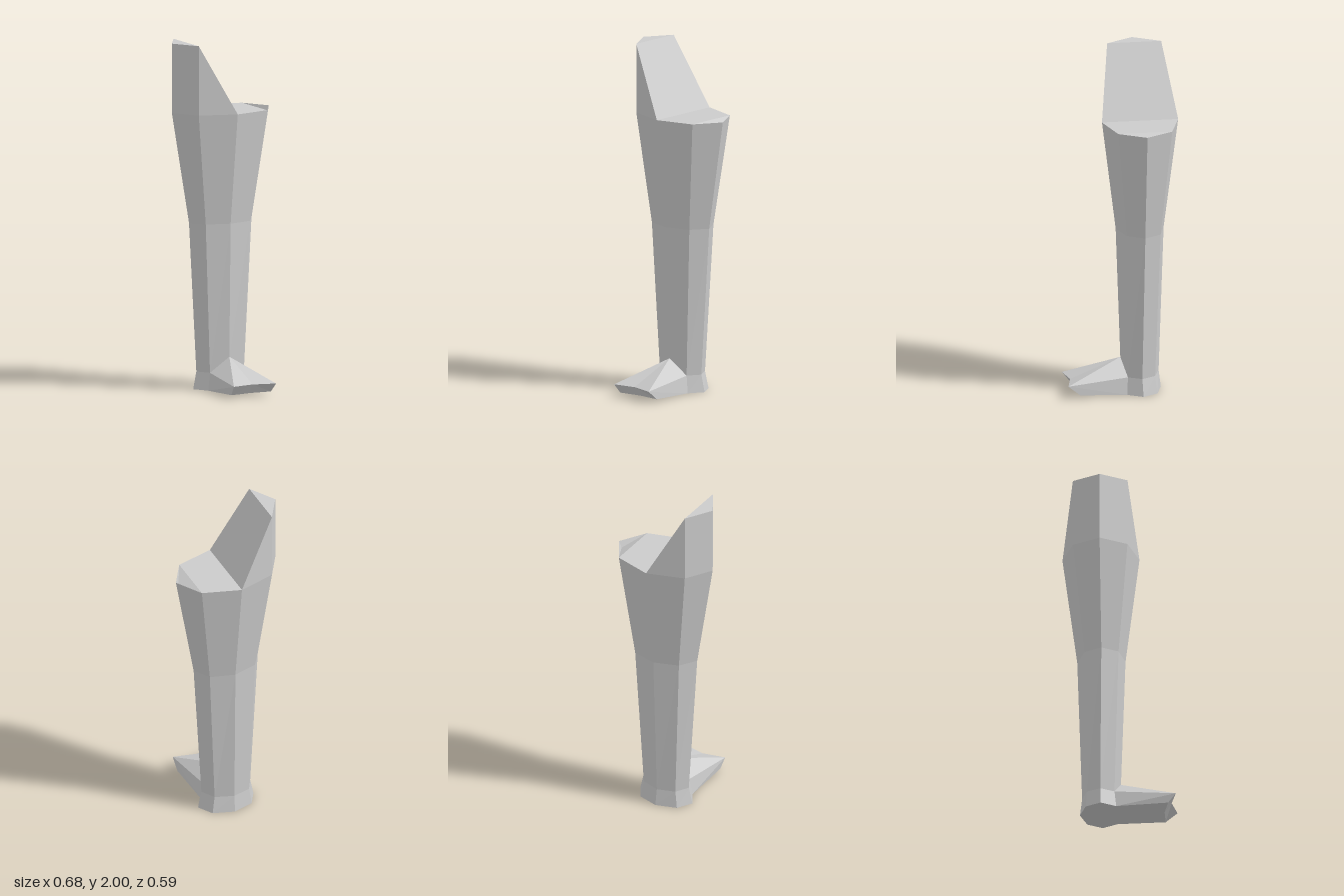
import * as THREE from 'three';

// Octagonal outline (x, z), clockwise seen from above, starting at the back
const outline = [
  [-0.15, -0.28], [0.03, -0.295], [0.13, -0.145], [0.09, 0.08],
  [-0.06, 0.25], [-0.24, 0.265], [-0.34, 0.115], [-0.305, -0.11],
];
const CX = -0.103, CZ = -0.009;

// Outline scaled about the leg axis; height(i) gives each corner's y
const ring = (sx, sz, height) => outline.map(([x, z], i) =>
  new THREE.Vector3(CX + (x - CX) * sx, height(i), CZ + (z - CZ) * sz));

// Collects triangles and quads, then makes a faceted mesh
function faceBuilder() {
  const points = [];
  const tri = (a, b, c) => points.push(a, b, c);
  const quad = (a, b, c, d) => { tri(a, b, c); tri(a, c, d); };
  const mesh = (name) => {
    const geometry = new THREE.BufferGeometry().setFromPoints(points);
    geometry.computeVertexNormals();
    const material = new THREE.MeshStandardMaterial({
      color: 0xcccccc, flatShading: true, side: THREE.DoubleSide,
    });
    const m = new THREE.Mesh(geometry, material);
    m.name = name;
    return m;
  };
  return { tri, quad, mesh };
}

export function createModel() {
  const group = new THREE.Group();
  group.name = 'bootLeg';

  // Corners 4-6 rise into the knee guard; corner 3 is the instep
  const isKnee = (i) => i >= 4 && i <= 6;
  const top = ring(1, 1, (i) => (isKnee(i) ? 2 : 1.6));
  const calf = ring(1, 1, () => 1.6);
  const shin = ring(0.62, 0.66, () => 0.96);
  const ankle = ring(0.51, 0.48, (i) => (i === 3 ? 0.19 : 0.1));
  const base = ring(0.56, 0.555, () => 0);

  // Shaft
  const shaft = faceBuilder();
  const rings = [top, calf, shin, ankle];
  for (let r = 0; r < 3; r++) {
    for (let i = 0; i < 8; i++) {
      const j = (i + 1) % 8;
      if (r === 0 && !isKnee(i) && !isKnee(j)) continue;
      shaft.quad(rings[r][i], rings[r][j], rings[r + 1][j], rings[r + 1][i]);
    }
  }
  group.add(shaft.mesh('shaft'));

  // Top: level rear, sloped front and a shallow dip at the back corner
  const cap = faceBuilder();
  const [a, b, c, d, e, f, g, h] = top;
  const dip = new THREE.Vector3(0.025, 1.56, -0.28);
  cap.quad(h, d, c, a);
  cap.quad(h, g, e, d);
  cap.tri(g, f, e);
  cap.tri(a, c, dip);
  cap.tri(c, b, dip);
  cap.tri(b, a, dip);
  group.add(cap.mesh('top'));

  // Foot: heel walls, notched toe, instep and sole
  const foot = faceBuilder();
  for (const i of [0, 1, 4, 5, 6, 7]) {
    const j = (i + 1) % 8;
    foot.quad(ankle[i], ankle[j], base[j], base[i]);
  }
  const v = (x, y, z) => new THREE.Vector3(x, y, z);
  const toeTop = [v(0.34, 0.07, 0.05), v(0.255, 0.07, 0.16), v(0.222, 0.07, 0.293)];
  const toeLow = [v(0.28, 0.015, 0.02), v(0.22, 0.015, 0.14), v(0.185, 0.015, 0.268)];
  const upper = [ankle[2], ...toeTop, ankle[4]];
  const lower = [base[2], ...toeLow, base[4]];
  for (let i = 0; i < 4; i++) {
    if (i < 2) foot.quad(upper[i + 1], lower[i + 1], lower[i], upper[i]);
    else foot.quad(upper[i], upper[i + 1], lower[i + 1], lower[i]);
  }
  foot.quad(ankle[3], toeTop[1], toeTop[0], ankle[2]);
  foot.quad(ankle[3], ankle[4], toeTop[2], toeTop[1]);
  const rim = [base[0], base[1], ...lower, base[5], base[6], base[7]];
  const middle = v(0, 0, 0.04);
  rim.forEach((p, i) => foot.tri(middle, p, rim[(i + 1) % rim.length]));
  group.add(foot.mesh('foot'));

  return group;
}
